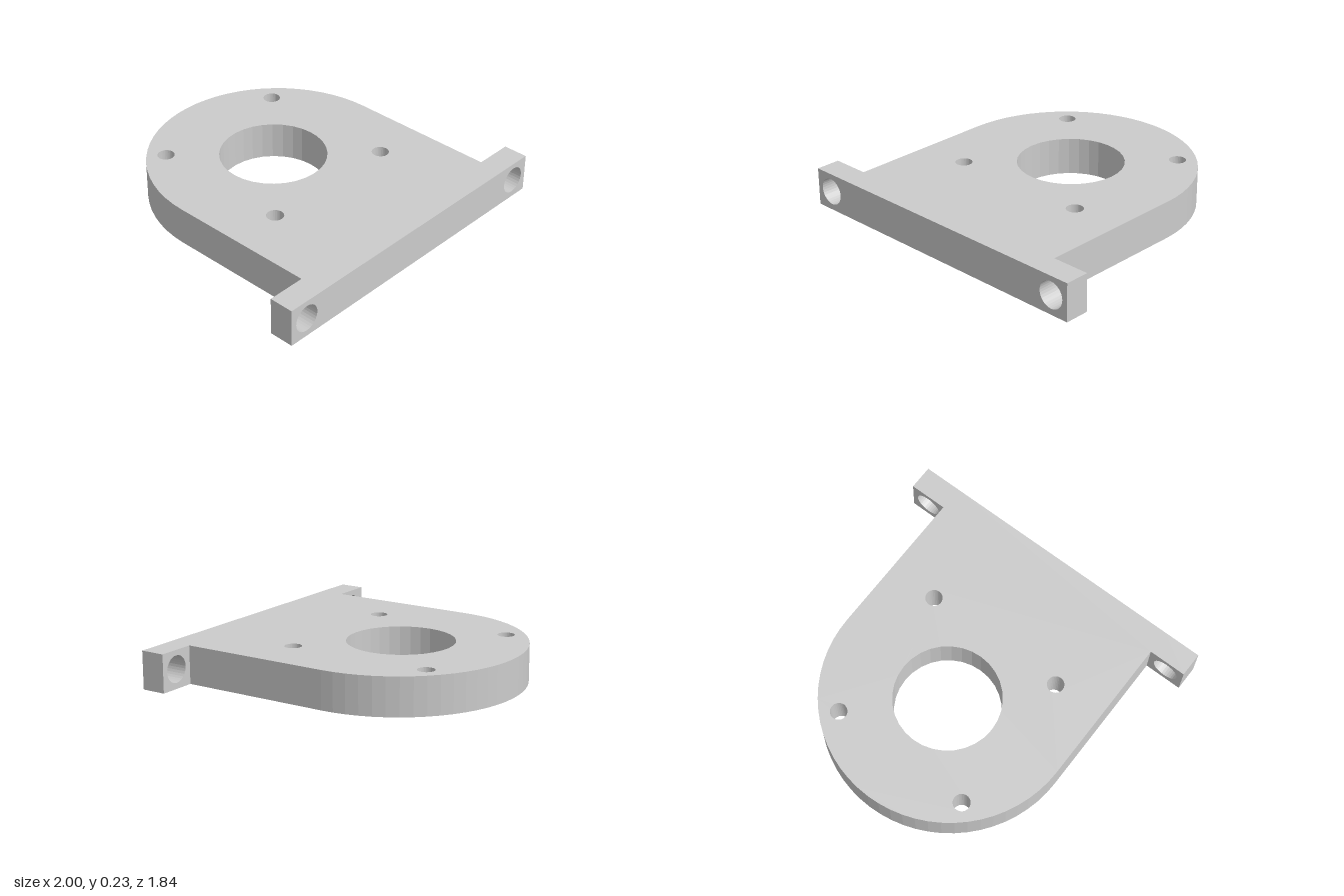
import * as THREE from 'three';

const HEIGHT = 0.23, BACK = -0.92, FRONT = 0.92, TAB_BACK = 0.77;
const HALF_WIDTH = 0.767, ARC_Z = BACK + HALF_WIDTH, BORE_Z = -0.18;

// Round hole cut into an outline
function addHole(shape, x, y, radius) {
  const hole = new THREE.Path();
  hole.absarc(x, y, radius, 0, Math.PI * 2, true);
  shape.holes.push(hole);
}

// Remove the triangles whose centre passes the test (walls buried in a joint)
function dropFaces(geometry, test) {
  const p = geometry.attributes.position, kept = [];
  for (let i = 0; i < p.count; i += 3) {
    const c = new THREE.Vector3();
    for (let k = 0; k < 3; k++) c.add(new THREE.Vector3().fromBufferAttribute(p, i + k));
    c.divideScalar(3);
    if (!test(c)) kept.push(i, i + 1, i + 2);
  }
  geometry.setIndex(kept);
  return geometry;
}

export function createModel() {
  const group = new THREE.Group();
  const material = new THREE.MeshStandardMaterial({ color: 0xcccccc });

  const add = (name, geometry) => {
    const mesh = new THREE.Mesh(geometry, material);
    mesh.name = name;
    group.add(mesh);
  };

  // Flat plate with a rounded back, drawn from above (outline y = -z)
  const outline = new THREE.Shape();
  outline.moveTo(-HALF_WIDTH, -FRONT);
  outline.lineTo(HALF_WIDTH, -FRONT);
  outline.lineTo(HALF_WIDTH, -TAB_BACK);
  outline.lineTo(HALF_WIDTH, -ARC_Z);
  outline.absarc(0, -ARC_Z, HALF_WIDTH, 0, Math.PI, false);
  outline.lineTo(-HALF_WIDTH, -TAB_BACK);
  outline.closePath();

  // Central bore and the four screw holes around it
  addHole(outline, 0, -BORE_Z, 0.32);
  for (const sx of [-1, 1])
    for (const sz of [-1, 1]) addHole(outline, sx * 0.447, -BORE_Z + sz * 0.447, 0.051);

  const plate = new THREE.ExtrudeGeometry(outline, { depth: HEIGHT, bevelEnabled: false, curveSegments: 16 });
  plate.rotateX(-Math.PI / 2);
  add('mountingPlate', dropFaces(plate, c => Math.abs(c.x) > HALF_WIDTH - 0.001 && c.z > TAB_BACK));

  // Side tabs along the front edge, each with a bolt hole running front to back
  for (const [name, side] of [['leftTab', 1], ['rightTab', -1]]) {
    const a = Math.min(side * HALF_WIDTH, side), b = Math.max(side * HALF_WIDTH, side);
    const face = new THREE.Shape();
    face.moveTo(a, 0);
    face.lineTo(b, 0);
    face.lineTo(b, HEIGHT);
    face.lineTo(a, HEIGHT);
    face.closePath();
    addHole(face, side * 0.885, HEIGHT / 2 + 0.002, 0.081);
    const tab = new THREE.ExtrudeGeometry(face, { depth: FRONT - TAB_BACK, bevelEnabled: false, curveSegments: 16 });
    tab.translate(0, 0, TAB_BACK);
    add(name, dropFaces(tab, c => Math.abs(c.x) < HALF_WIDTH + 0.001));
  }

  return group;
}
